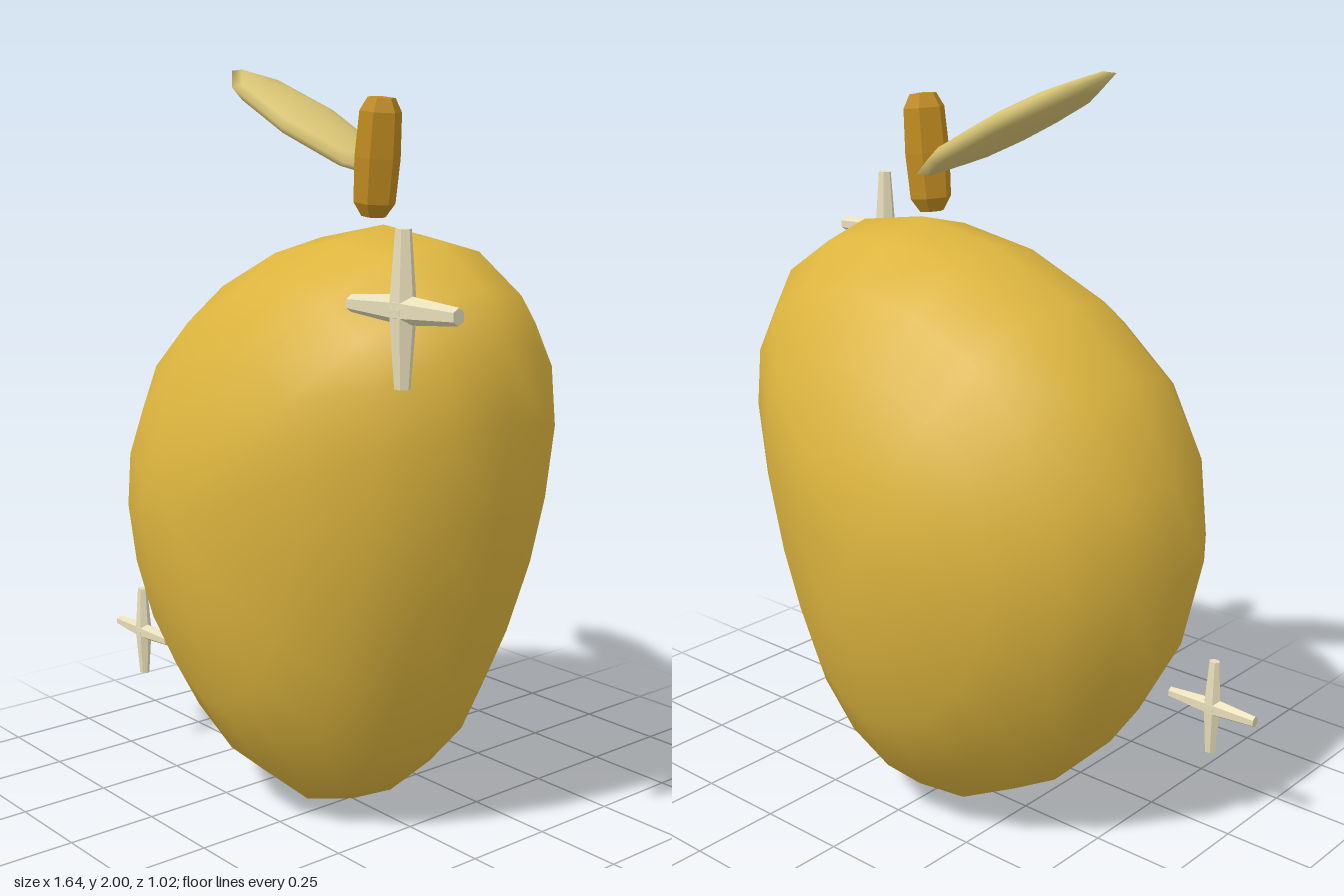
import * as THREE from 'three';

const mat = (name, color) => {
  const m = new THREE.MeshStandardMaterial({ color });
  m.name = name;
  return m;
};

// Closed domed solid: an outline (counter-clockwise) shrinking elliptically towards +h and -h
function dome(outline, [cx, cy], half, steps, place) {
  const n = outline.length, pos = [], idx = [];
  pos.push(...place(cx, cy, half));
  for (let i = 1; i < steps; i++) {
    const t = (i / steps) * Math.PI, s = Math.sin(t), h = half * Math.cos(t);
    for (const [a, b] of outline) pos.push(...place(cx + (a - cx) * s, cy + (b - cy) * s, h));
  }
  pos.push(...place(cx, cy, -half));
  const last = 1 + (steps - 1) * n;
  for (let j = 0; j < n; j++) {
    const k = (j + 1) % n;
    idx.push(0, 1 + j, 1 + k);
    for (let i = 0; i < steps - 2; i++) {
      const a = 1 + i * n + j, b = 1 + i * n + k;
      idx.push(a, a + n, b, b, a + n, b + n);
    }
    idx.push(last, last - n + k, last - n + j);
  }
  const g = new THREE.BufferGeometry();
  g.setAttribute('position', new THREE.Float32BufferAttribute(pos, 3));
  g.setIndex(idx);
  g.computeVertexNormals();
  return g;
}

// Six-sided flat-faced spindle from a radius/height profile, corners towards +x and -x
function spindle(profile) {
  const pts = profile.map(([r, y]) => new THREE.Vector2(r, y));
  const g = new THREE.LatheGeometry(pts, 6).rotateY(Math.PI / 2).toNonIndexed();
  g.computeVertexNormals();
  return g;
}

export function createModel() {
  const model = new THREE.Group();
  const skin = mat('golden skin', 0xdcb43e);
  const bark = mat('brown stem', 0xbf8a20);
  const leafMat = mat('pale leaf', 0xd8c474);
  const cream = mat('cream sparkle', 0xe6ddb8);

  const add = (parent, name, geo, material) => {
    const m = new THREE.Mesh(geo, material);
    m.name = name;
    parent.add(m);
    return m;
  };

  // Fruit body: lopsided outline, rounded front to back
  const fruit = [
    [0.13, 1.605], [-0.12, 1.56], [-0.37, 1.45], [-0.57, 1.28], [-0.69, 1.05],
    [-0.72, 0.8], [-0.66, 0.54], [-0.53, 0.3], [-0.35, 0.12], [-0.16, 0.02],
    [0.01, 0], [0.17, 0.08], [0.3, 0.22], [0.4, 0.42], [0.5, 0.68],
    [0.56, 0.91], [0.595, 1.15], [0.575, 1.34], [0.5, 1.47], [0.34, 1.575],
  ];
  add(model, 'fruitBody', dome(fruit, [-0.1, 0.86], 0.51, 10, (a, b, h) => [a, b, h]), skin);

  // Leaf: thin lens sloping up to the side
  const leaf = [
    [0.1, 0.05], [0, 0.12], [-0.2, 0.12], [-0.39, 0.05],
    [-0.455, -0.045], [-0.36, -0.115], [-0.16, -0.11], [0.03, -0.045],
  ];
  add(model, 'leaf', dome(leaf, [-0.18, 0], 0.042, 6,
    (a, b, h) => [a, 1.773 - 0.5 * a + h, -b]), leafMat);

  // Stem: short leaning hexagonal peg with bevelled ends
  const stem = add(model, 'stem', spindle([
    [0, -0.153], [0.032, -0.15], [0.055, -0.115], [0.06, 0],
    [0.055, 0.115], [0.036, 0.15], [0, 0.153],
  ]), bark);
  stem.position.set(0.107, 1.773, 0);
  stem.rotation.z = -0.1;

  // Sparkles: two crossed tapered bars
  const bar = spindle([[0, -0.175], [0.02, -0.175], [0.034, 0], [0.02, 0.175], [0, 0.175]]);
  bar.scale(1, 1, 0.88);
  for (const [name, x, y, z, s] of [
    ['upperSparkle', 0.64, 1.46, 0.388, 1],
    ['lowerSparkle', -0.69, 0.367, 0.232, 0.75],
  ]) {
    const sparkle = new THREE.Group();
    sparkle.name = name;
    add(sparkle, 'uprightBar', bar, cream);
    add(sparkle, 'crossBar', bar, cream).rotation.z = Math.PI / 2;
    sparkle.position.set(x, y, z);
    sparkle.scale.setScalar(s);
    model.add(sparkle);
  }
  return model;
}
